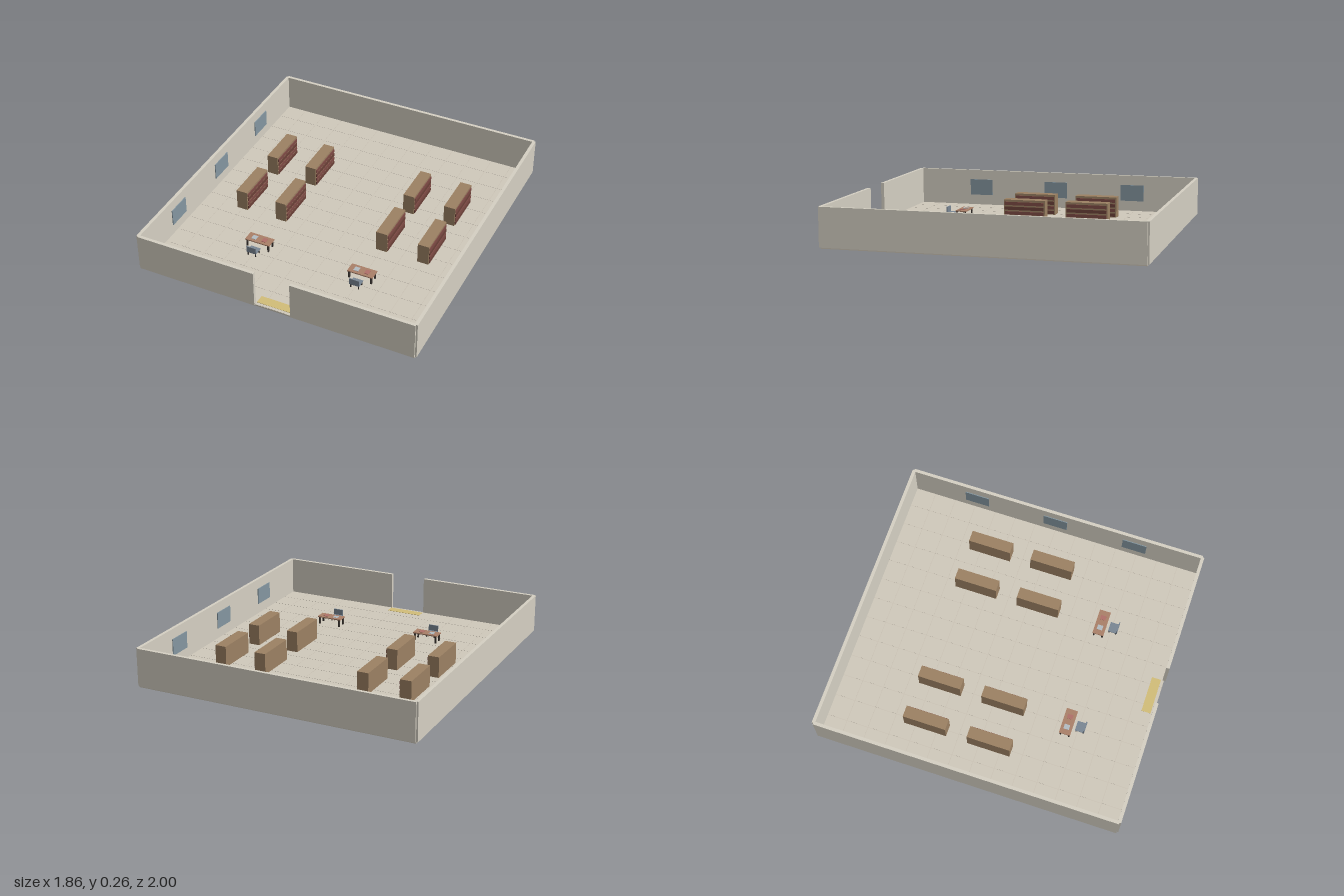
import * as THREE from 'three';

const mat = (color) => new THREE.MeshStandardMaterial({ color, flatShading: true });
const M = {
  wall: mat(0xd5d0c3), floor: mat(0xcbc4b6), tile: mat(0xd0c9bb),
  wood: mat(0x9c8163), bookA: mat(0x7d4a44), bookB: mat(0x6b4038),
  table: mat(0xaa8068), leg: mat(0x3c3632), chair: mat(0x7a8794),
  glass: mat(0x8496a0), screen: mat(0xb4bcc2), red: mat(0xb07068), mat: mat(0xd2bd78),
};

const FLOOR = 0.0095; // walking height

// Box given by its min and max on each axis
function box(parent, name, material, [x0, x1], [y0, y1], [z0, z1]) {
  const mesh = new THREE.Mesh(new THREE.BoxGeometry(x1 - x0, y1 - y0, z1 - z0), material);
  mesh.position.set((x0 + x1) / 2, (y0 + y1) / 2, (z0 + z1) / 2);
  mesh.name = name;
  parent.add(mesh);
  return mesh;
}

function group(parent, name, x = 0, z = 0) {
  const g = new THREE.Group();
  g.name = name;
  g.position.set(x, 0, z);
  parent.add(g);
  return g;
}

// Bookcase with a solid back on -x and rows of books on +x
function bookcase(parent, x, z) {
  const g = group(parent, 'bookcase', x, z);
  const half = 0.141, top = 0.147;
  box(g, 'bookcaseBody', M.wood, [-0.039, 0.036], [0, top], [-half, half]);
  const rows = 4, pitch = (top - 0.02) / rows;
  for (let i = 0; i < rows; i++) {
    const y = 0.016 + i * pitch;
    box(g, 'bookRow', i % 2 ? M.bookA : M.bookB, [0.03, 0.041], [y, y + pitch * 0.68], [-half + 0.008, half - 0.008]);
  }
}

// Reading table with a screen and a small book
function table(parent, x, z) {
  const g = group(parent, 'table', x, z);
  box(g, 'tableTop', M.table, [-0.085, 0.085], [0.059, 0.066], [-0.037, 0.037]);
  for (const sx of [-1, 1]) for (const sz of [-1, 1]) {
    const lx = sx * 0.074, lz = sz * 0.028;
    box(g, 'tableLeg', M.leg, [lx - 0.005, lx + 0.005], [FLOOR, 0.06], [lz - 0.005, lz + 0.005]);
  }
  box(g, 'paper', M.screen, [-0.052, -0.019], [0.065, 0.068], [-0.018, 0.018]);
  box(g, 'tableBook', M.red, [0.02, 0.05], [0.065, 0.069], [-0.018, 0.018]);
}

// Chair facing the table, backrest towards the entrance
function chair(parent, x, z) {
  const g = group(parent, 'chair', x, z);
  box(g, 'chairSeat', M.chair, [-0.033, 0.033], [0.036, 0.042], [-0.03, 0.03]);
  box(g, 'chairBack', M.chair, [-0.033, 0.033], [0.042, 0.08], [0.024, 0.031]);
  for (const sx of [-1, 1]) for (const sz of [-1, 1]) {
    const lx = sx * 0.026, lz = sz * 0.023;
    box(g, 'chairLeg', M.leg, [lx - 0.003, lx + 0.003], [FLOOR, 0.037], [lz - 0.003, lz + 0.003]);
  }
}

export function createModel() {
  const model = new THREE.Group();
  model.name = 'libraryRoom';

  // Floor slab and its grid of tiles
  const W = 0.919, D = 0.99;
  box(model, 'floorSlab', M.floor, [-W, W], [0, FLOOR], [-D, D]);
  const tiles = group(model, 'floorTiles');
  const nx = 13, nz = 14, px = 2 * W / nx, pz = 2 * D / nz, gap = 0.002;
  for (let i = 0; i < nx; i++) for (let j = 0; j < nz; j++) {
    const x = -W + i * px, z = -D + j * pz;
    box(tiles, 'tile', M.tile, [x + gap, x + px - gap], [FLOOR - 0.001, FLOOR + 0.001], [z + gap, z + pz - gap]);
  }

  // Walls, with the entrance gap in the front
  const wallY = [0.0085, 0.256], t = 0.0105;
  box(model, 'backWall', M.wall, [-W, W], wallY, [-D - t, -D + t]);
  box(model, 'frontWallRight', M.wall, [-W, -0.12], wallY, [D - t, D + t]);
  box(model, 'frontWallLeft', M.wall, [0.12, W], wallY, [D - t, D + t]);
  for (const s of [-1, 1]) {
    box(model, 'sideWall', M.wall, [s * W - t, s * W + t], wallY, [-D, D]);
    // Windows on the inner faces
    for (const z of [-0.547, -0.003, 0.541]) {
      const x = s * 0.907;
      box(model, 'window', M.glass, [x - 0.004, x + 0.004], [0.08, 0.19], [z - 0.081, z + 0.081]);
    }
  }

  // Entrance mat
  box(model, 'entranceMat', M.mat, [-0.119, 0.119], [FLOOR, 0.0125], [0.91, 0.97]);

  // Furniture
  for (const x of [-0.636, -0.354, 0.354, 0.636])
    for (const z of [-0.358, 0.066]) bookcase(model, x, z);
  for (const x of [-0.354, 0.354]) {
    table(model, x, 0.494);
    chair(model, x, 0.578);
  }
  return model;
}
